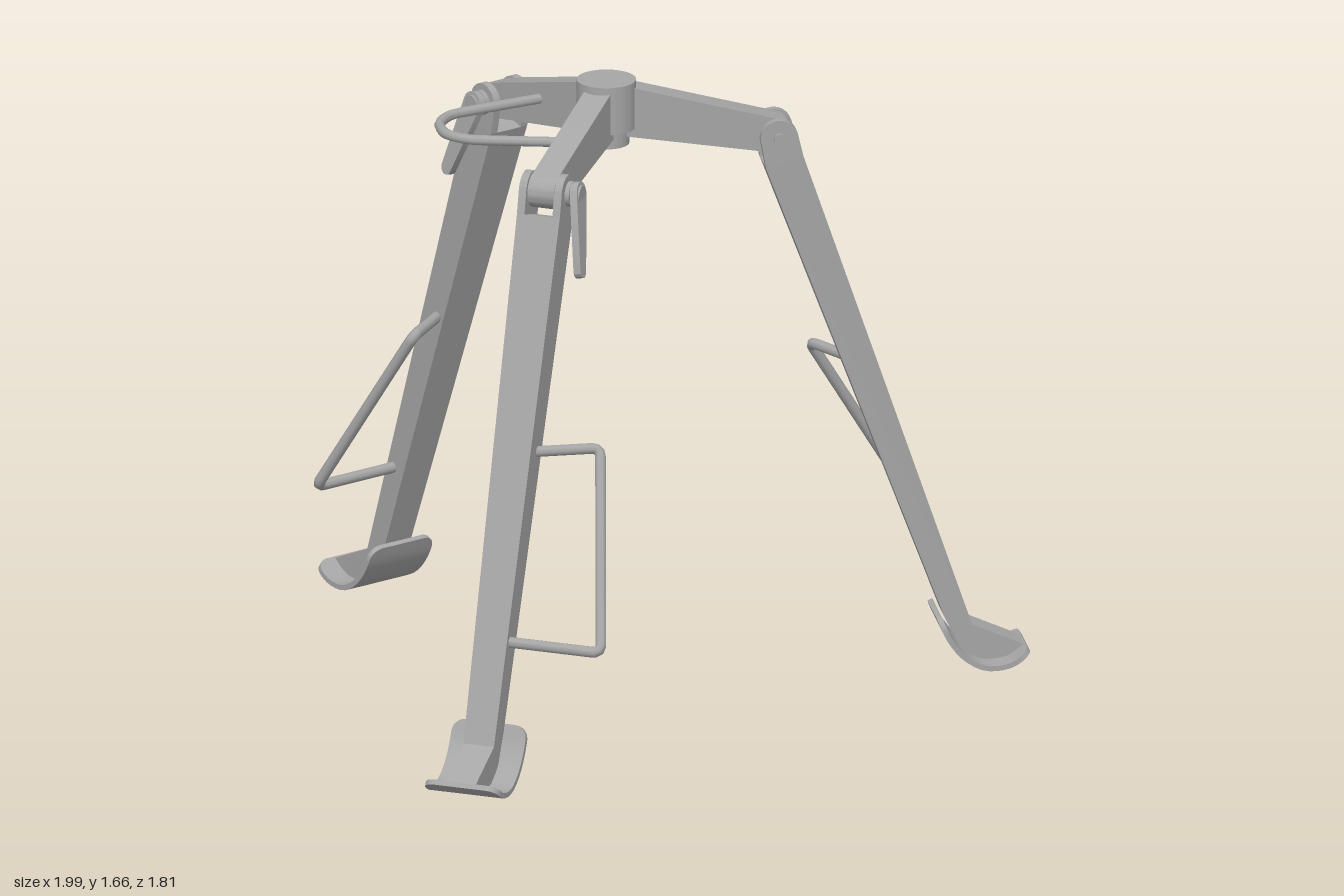
import * as THREE from 'three';
import { toCreasedNormals } from 'three/addons/utils/BufferGeometryUtils.js';

const metal = new THREE.MeshStandardMaterial({ color: 0xa6a6a6 });
metal.name = 'grey metal';

const PIVOT = [0.45, 1.49];

function add(parent, name, geometry) {
  const mesh = new THREE.Mesh(geometry, metal);
  mesh.name = name;
  parent.add(mesh);
  return mesh;
}

// Plate with its outline in the x-y plane, centred on z
function plate(shape, width, z = 0) {
  const g = new THREE.ExtrudeGeometry(shape, { depth: width, bevelEnabled: false, curveSegments: 10 });
  g.translate(0, 0, z - width / 2);
  return toCreasedNormals(g, 0.6);
}

const outline = (pts) => new THREE.Shape(pts.map(([x, y]) => new THREE.Vector2(x, y)));

// Round bar along a path of straight runs with rounded corners
function bar(points, bend, radius) {
  const p = points.map((q) => new THREE.Vector3(...q));
  const path = new THREE.CurvePath();
  let from = p[0];
  for (let i = 1; i < p.length - 1; i++) {
    const a = p[i].clone().add(p[i - 1].clone().sub(p[i]).setLength(bend));
    const b = p[i].clone().add(p[i + 1].clone().sub(p[i]).setLength(bend));
    path.add(new THREE.LineCurve3(from, a));
    path.add(new THREE.QuadraticBezierCurve3(a, p[i], b));
    from = b;
  }
  path.add(new THREE.LineCurve3(from, p[p.length - 1]));
  return new THREE.TubeGeometry(path, 90, radius, 8);
}

// Curved skid plate with rounded corners
function footPlate() {
  const curve = new THREE.SplineCurve([
    [0.87, 0.152], [0.895, 0.095], [0.935, 0.045], [0.99, 0.014], [1.055, 0.018], [1.108, 0.052],
  ].map(([x, y]) => new THREE.Vector2(x, y)));
  const length = curve.getLength(), r = 0.035, half = 0.104;
  const g = new THREE.BoxGeometry(1, 0.014, 1, 24, 1, 1);
  const pos = g.attributes.position;
  for (let i = 0; i < pos.count; i++) {
    const s = 0.5 - 0.5 * Math.cos(Math.PI * (pos.getX(i) + 0.5));
    const c = curve.getPointAt(s), t = curve.getTangentAt(s);
    const d = Math.min(r, Math.min(s, 1 - s) * length);
    const w = half - r + Math.sqrt(r * r - (r - d) ** 2);
    const h = pos.getY(i);
    pos.setXYZ(i, c.x - t.y * h, c.y + t.x * h, pos.getZ(i) * 2 * w);
  }
  return toCreasedNormals(g, 0.6);
}

// One arm and leg, reaching out along +x from the hub
function createLimb() {
  const limb = new THREE.Group();
  const [px, py] = PIVOT;

  // Tapering arm with a rounded end
  const arm = new THREE.Shape();
  arm.moveTo(0.02, 1.515);
  arm.lineTo(px - 0.01, py - 0.045);
  arm.absarc(px, py, 0.046, -1.8, 1.3, false);
  arm.lineTo(0.02, 1.655);
  add(limb, 'arm', plate(arm, 0.074));

  // Tapered leg that ends in a web on the foot
  const leg = plate(outline([
    [0.414, 1.41], [0.89, 0.14], [0.935, 0.05], [0.99, 0.018], [1.055, 0.022],
    [1.1, 0.055], [0.963, 0.117], [0.513, 1.44],
  ]), 0.12);
  const pos = leg.attributes.position;
  for (let i = 0; i < pos.count; i++) {
    const k = Math.min(1, (1.45 - pos.getY(i)) / 1.35);
    pos.setZ(i, pos.getZ(i) * (1 - 0.29 * k));
  }
  leg.computeVertexNormals();
  add(limb, 'leg', leg);

  // Fork cheeks on both sides of the arm
  for (const side of [-1, 1]) {
    const cheek = new THREE.Shape();
    cheek.moveTo(0.414, 1.41);
    cheek.lineTo(0.513, 1.44);
    cheek.absarc(px, py, 0.05, 0.3, Math.PI + 0.3, false);
    add(limb, 'forkCheek', plate(cheek, 0.021, side * 0.0495));
  }

  // Pivot bolt, knob and clamp lever
  const cylinders = [
    ['pivotBolt', 0.016, 0.17, -0.015], ['boltWasher', 0.034, 0.012, -0.068], ['leverBoss', 0.026, 0.03, -0.085],
  ];
  for (const [name, r, len, z] of cylinders) {
    const m = add(limb, name, new THREE.CylinderGeometry(r, r, len, 16));
    m.rotation.x = Math.PI / 2;
    m.position.set(px, py, z);
  }
  const lever = new THREE.Shape();
  lever.absarc(0, 0, 0.034, 0, Math.PI, false);
  lever.absarc(0, -0.2, 0.02, Math.PI, 2 * Math.PI, false);
  const clamp = add(limb, 'clampLever', plate(lever, 0.02));
  clamp.position.set(px, py, -0.088);
  clamp.rotation.set(0.16, 0, 0.35);

  // Side step and foot
  add(limb, 'sideHandle', bar([
    [0.675, 0.84, -0.02], [0.57, 0.84, -0.195], [0.85, 0.372, -0.3], [0.85, 0.372, -0.01],
  ], 0.025, 0.015));
  add(limb, 'foot', footPlate());
  return limb;
}

export function createModel() {
  const model = new THREE.Group();
  model.name = 'tripodStand';
  const stand = new THREE.Group();
  stand.name = 'stand';
  stand.position.set(-0.014, 0, 0.198);
  model.add(stand);

  // Central hub
  add(stand, 'hub', new THREE.CylinderGeometry(0.078, 0.078, 0.13, 28)).position.y = 1.595;
  add(stand, 'hubSocket', new THREE.CylinderGeometry(0.06, 0.06, 0.06, 28)).position.y = 1.515;

  // Three limbs: back, left and right
  for (const [name, angle, reach] of [['backLimb', 90, 1], ['leftLimb', -28.9, 1], ['rightLimb', 211.4, 0.985]]) {
    const limb = createLimb();
    limb.name = name;
    limb.rotation.y = THREE.MathUtils.degToRad(angle);
    limb.scale.x = reach;
    stand.add(limb);
  }

  // Carrying hoop between two arms
  add(stand, 'carryHandle', bar([
    [-0.01, 1.55, -0.235], [-0.3, 1.55, -0.28], [-0.372, 1.55, -0.24], [-0.413, 1.55, -0.16],
    [-0.393, 1.55, -0.086], [-0.18, 1.55, 0.108],
  ], 0.035, 0.014));
  return model;
}
